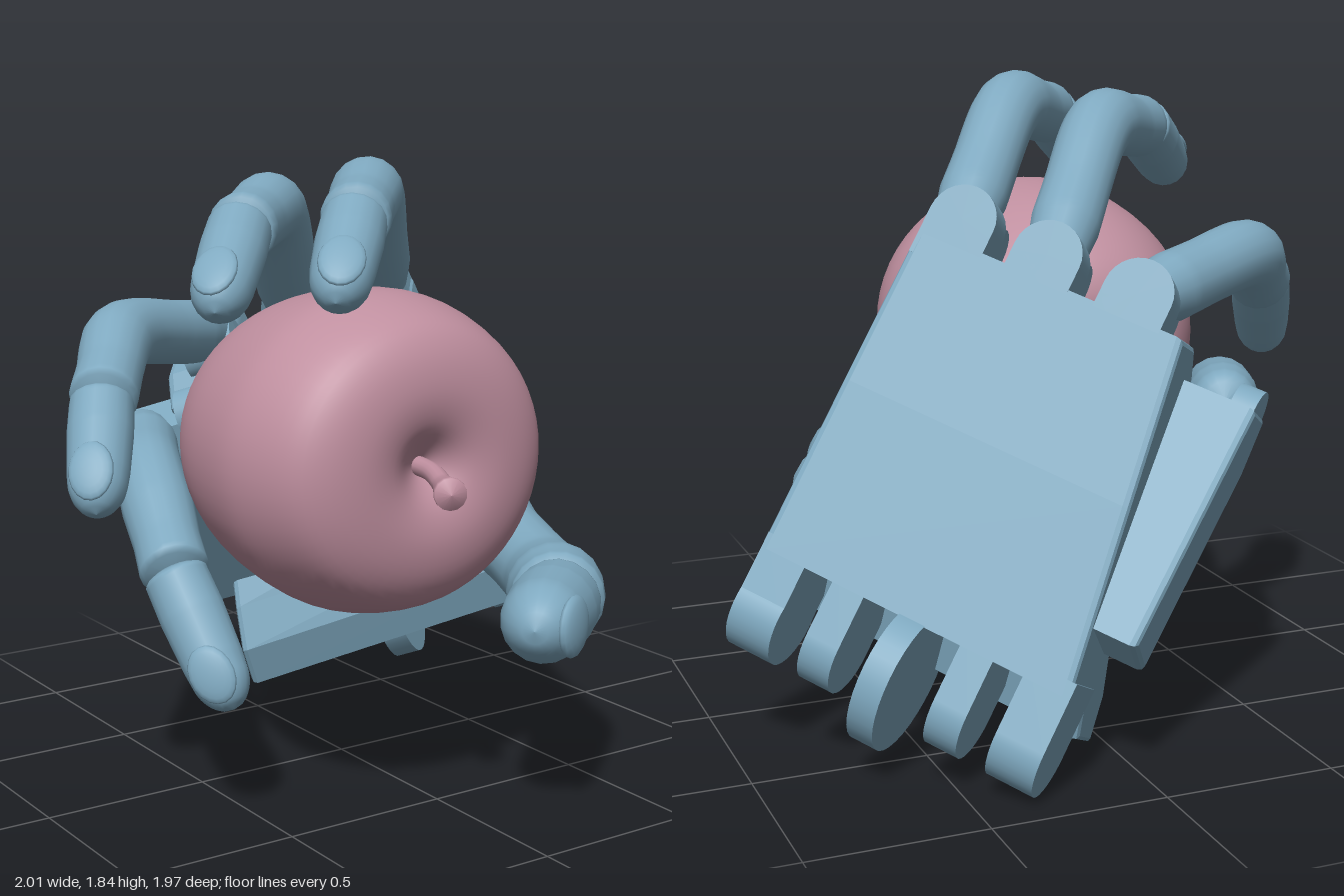
import * as THREE from 'three';
import { mergeVertices } from 'three/addons/utils/BufferGeometryUtils.js';

const V = (x, y, z) => new THREE.Vector3(x, y, z);
const handMat = new THREE.MeshStandardMaterial({ color: 0x7fa9c0 });
const appleMat = new THREE.MeshStandardMaterial({ color: 0xbf8f9f });

function add(parent, name, geo, mat = handMat) {
  const m = new THREE.Mesh(geo, mat);
  m.name = name;
  parent.add(m);
  return m;
}

// Round limb along a curve: radii spread evenly, domed at both ends
function limb(points, radii, capA, capB, steps = 48, sides = 18) {
  const curve = new THREE.CatmullRomCurve3(points, false, 'centripetal');
  const len = curve.getLength();
  const geo = new THREE.TubeGeometry(curve, steps, 1, sides, false);
  const pos = geo.attributes.position, p = V(0, 0, 0);
  const dome = (d, cap) => (d >= cap ? 1 : Math.sqrt(Math.max(0, 1 - (1 - d / cap) ** 2)));
  for (let i = 0; i <= steps; i++) {
    const t = i / steps, c = curve.getPointAt(t);
    const f = t * (radii.length - 1), k = Math.min(Math.floor(f), radii.length - 2);
    const r = THREE.MathUtils.lerp(radii[k], radii[k + 1], f - k)
      * Math.max(0.001, dome(t * len, capA) * dome((1 - t) * len, capB));
    for (let j = 0; j <= sides; j++) {
      const n = i * (sides + 1) + j;
      p.fromBufferAttribute(pos, n).sub(c).multiplyScalar(r).add(c);
      pos.setXYZ(n, p.x, p.y, p.z);
    }
  }
  geo.deleteAttribute('uv');
  geo.deleteAttribute('normal');
  const out = mergeVertices(geo, 1e-5);
  out.computeVertexNormals();
  return out;
}

// Orients an object: local x along dir, local y close to up
function orient(obj, dir, up, at) {
  const x = dir.clone().normalize();
  const y = up.clone().addScaledVector(x, -up.dot(x)).normalize();
  obj.quaternion.setFromRotationMatrix(new THREE.Matrix4().makeBasis(x, y, x.clone().cross(y)));
  obj.position.copy(at);
}

// Fingertip with its nail; prev is the direction of the segment before it
function fingertip(group, from, to, prev, r) {
  const dir = to.clone().sub(from).normalize();
  add(group, 'fingertip', limb([from.clone().addScaledVector(dir, -0.03), from.clone().lerp(to, 0.5), to],
    [r * 0.97, r, r * 0.93, r * 0.76], 0.03, r));
  const dorsal = prev.clone().addScaledVector(dir, -prev.dot(dir)).normalize();
  const nail = add(group, 'nail', new THREE.SphereGeometry(1, 18, 10));
  nail.scale.set(0.085, r * 0.22, r * 0.68);
  orient(nail, dir.clone().addScaledVector(dorsal, -0.25), dorsal,
    to.clone().addScaledVector(dir, -0.1).addScaledVector(dorsal, r * 0.7));
}

function finger(name, base, pip, dip, tip, r) {
  const g = new THREE.Group();
  g.name = name;
  const mid = (a, b, t) => a.clone().lerp(b, t);
  const prev = dip.clone().sub(pip).normalize();
  add(g, 'fingerShaft', limb(
    [base, mid(base, pip, 0.45), mid(base, pip, 0.9), mid(pip, dip, 0.12), mid(pip, dip, 0.6), dip],
    [r * 0.78, r, r * 0.98, r, r * 1.03, r * 0.95, r * 0.98], 0.06, 0.035));
  fingertip(g, dip, tip, prev, r * 0.92);
  return g;
}

// Profile in (u, w) pulled along the hand's width, with a small bevel
function slab(points, width) {
  const geo = new THREE.ExtrudeGeometry(new THREE.Shape(points.map(p => new THREE.Vector2(...p))), {
    depth: width - 0.04, bevelEnabled: true, bevelSize: 0.015, bevelThickness: 0.02, bevelSegments: 2,
  });
  return geo.translate(0, 0, -width / 2 + 0.02);
}

// Palm in its own frame: x to the wrist, y out of the back of the hand, z to the thumb side
function palm() {
  const g = new THREE.Group();
  g.name = 'palm';
  orient(g, V(0.51, -0.85, -0.105), V(0.537, 0.412, -0.727), V(0.27, 1.39, -0.2));
  const body = slab([[0.04, 0.07], [0.5, 0.075], [1.0, 0.075], [1.0, -0.12], [1.1, -0.19], [1.1, -0.34],
    [0.98, -0.33], [0.87, -0.24], [0.72, -0.07], [0.55, -0.06], [0.38, -0.11], [0.24, -0.165], [0.08, -0.18], [0.02, -0.1]], 0.82);
  // The little finger side flares toward the wrist; the heel is shallower on the thumb side
  const pos = body.attributes.position;
  for (let i = 0; i < pos.count; i++) {
    if (pos.getZ(i) < 0) pos.setZ(i, pos.getZ(i) - 0.14 * Math.max(0, pos.getX(i)));
    else if (pos.getX(i) > 0.8 && pos.getY(i) < -0.2) pos.setY(i, pos.getY(i) * 0.78);
  }
  body.computeVertexNormals();
  add(g, 'palmBody', body).position.z = -0.305;

  // Rounded knuckle covers over hinge pins
  for (const v of [0, 0.27, 0.55]) {
    const cap = add(g, 'knuckleCap', new THREE.CylinderGeometry(0.1, 0.1, 0.11, 28));
    cap.position.set(-0.04, 0.03, -v);
    const root = add(g, 'knuckleRoot', new THREE.BoxGeometry(0.14, 0.11, 0.2));
    root.position.set(0.03, 0.03, -v);
    const pin = add(g, 'knuckleHinge', new THREE.CylinderGeometry(0.075, 0.075, 0.17, 20).rotateX(Math.PI / 2));
    pin.position.set(-0.01, -0.06, -v);
  }

  // Wrist hinge tabs with slots between: [position across, width, radius]
  for (const [v, width, r] of [[-0.03, 0.14, 0.125], [0.18, 0.1, 0.12], [0.38, 0.08, 0.2], [0.58, 0.1, 0.12], [0.79, 0.14, 0.12]]) {
    const tab = add(g, 'wristTab', new THREE.CylinderGeometry(r, r, width, 32).rotateX(Math.PI / 2));
    tab.position.set(1.17, -0.03, -v);
    const root = add(g, 'wristTabRoot', new THREE.BoxGeometry(0.2, 0.24, width));
    root.position.set(1.07, -0.03, -v);
  }
  return g;
}

// Separate slab that carries the little finger
function outerPalm() {
  const g = new THREE.Group();
  g.name = 'outerPalm';
  orient(g, V(0.465, -0.58, -0.2), V(0.537, 0.412, -0.727), V(-0.09, 0.71, -0.69));
  add(g, 'outerPalmBody', slab([[-0.32, 0.09], [0.39, 0.09], [0.39, -0.12], [-0.22, -0.12], [-0.36, -0.06]], 0.33));
  for (const z of [-0.12, 0.12]) {
    const ear = add(g, 'littleKnuckle', new THREE.CylinderGeometry(0.085, 0.085, 0.07, 24).rotateX(Math.PI / 2));
    ear.position.set(-0.34, 0.0, z);
  }
  return g;
}

function thumb() {
  const g = new THREE.Group();
  g.name = 'thumb';
  const joint = V(0.28, 0.59, 0.69);
  add(g, 'thumbShaft', limb(
    [V(0.6, 0.58, -0.34), V(0.61, 0.65, -0.12), V(0.54, 0.62, 0.14), V(0.45, 0.58, 0.42), V(0.36, 0.58, 0.59), joint],
    [0.13, 0.155, 0.145, 0.125, 0.12, 0.122, 0.145, 0.13], 0.1, 0.05));
  fingertip(g, joint, V(-0.02, 0.615, 0.95), V(-0.5, 0.06, 0.86), 0.128);
  return g;
}

function apple() {
  const g = new THREE.Group();
  g.name = 'apple';
  const profile = [[0, -0.13], [0.08, -0.17], [0.18, -0.18], [0.29, -0.13], [0.385, -0.01], [0.452, 0.15], [0.485, 0.35],
    [0.475, 0.48], [0.42, 0.62], [0.34, 0.685], [0.23, 0.71], [0.13, 0.695], [0.05, 0.645], [0, 0.61]];
  const pts = new THREE.SplineCurve(profile.map(p => new THREE.Vector2(...p))).getPoints(56);
  pts.forEach(p => { p.x = Math.max(0, p.x); });
  const flesh = add(g, 'fruit', new THREE.LatheGeometry(pts, 56).rotateX(Math.PI / 2), appleMat);
  flesh.scale.y = 0.94;
  flesh.position.set(-0.165, 1.03, 0);
  add(g, 'stem', limb([V(-0.165, 1.03, 0.55), V(-0.18, 1.025, 0.7), V(-0.22, 1.01, 0.81), V(-0.27, 1.01, 0.91)],
    [0.028, 0.026, 0.028, 0.048], 0.01, 0.02, 30, 14), appleMat);
  return g;
}

export function createModel() {
  const model = new THREE.Group();
  model.name = 'handHoldingApple';
  model.add(
    palm(), outerPalm(), thumb(), apple(),
    finger('indexFinger', V(0.29, 1.4, -0.21), V(-0.01, 1.74, 0.16), V(-0.28, 1.68, 0.48), V(-0.5, 1.5, 0.72), 0.1),
    finger('middleFinger', V(0.08, 1.33, -0.39), V(-0.22, 1.69, -0.03), V(-0.5, 1.65, 0.25), V(-0.73, 1.47, 0.51), 0.1),
    finger('ringFinger', V(-0.1, 1.25, -0.57), V(-0.6, 1.32, -0.27), V(-0.81, 1.17, 0.02), V(-0.95, 0.92, 0.25), 0.1),
    finger('littleFinger', V(-0.36, 0.95, -0.6), V(-0.53, 0.9, -0.24), V(-0.64, 0.67, 0.12), V(-0.61, 0.35, 0.38), 0.103),
  );
  return model;
}
